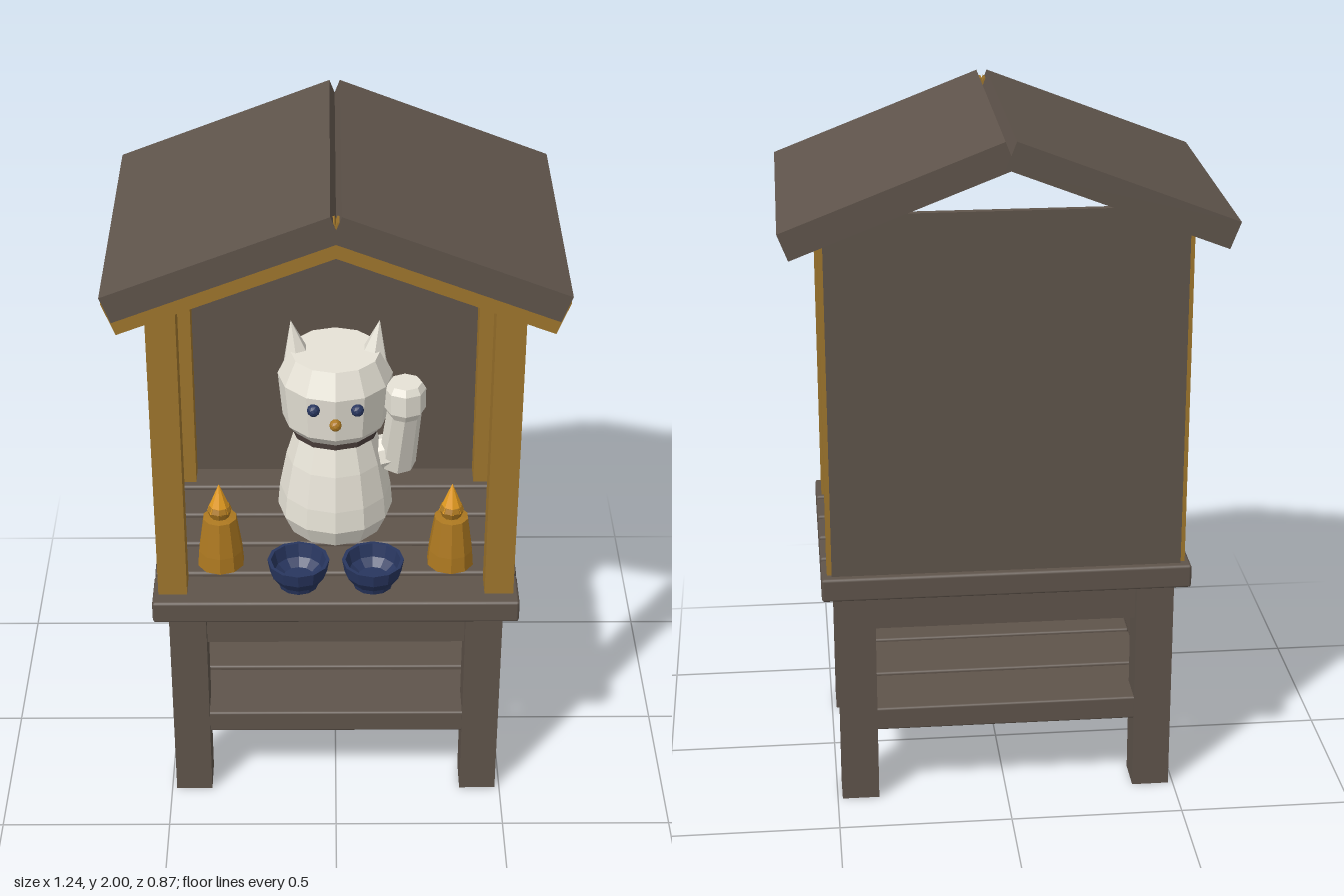
import * as THREE from 'three';
import { RoundedBoxGeometry } from 'three/addons/geometries/RoundedBoxGeometry.js';

const mat = (name, color) => {
  const m = new THREE.MeshStandardMaterial({ color });
  m.name = name;
  return m;
};

export function createModel() {
  const root = new THREE.Group();
  root.name = 'shrineStall';

  const wood = mat('greyBrownWood', 0x5f544b);
  const gold = mat('goldenWood', 0x9f762d);
  const cream = mat('cream', 0xe6e2d6);
  const navy = mat('navy', 0x28365f);
  const amber = mat('amber', 0xac7820);
  const flame = mat('flameOrange', 0xe59c20);
  const collarBrown = mat('collarBrown', 0x483c38);

  // Helpers
  const flat = (g) => {
    const f = g.index ? g.toNonIndexed() : g;
    f.computeVertexNormals();
    return f;
  };
  const add = (parent, name, geo, material, x = 0, y = 0, z = 0) => {
    const m = new THREE.Mesh(geo, material);
    m.name = name;
    m.position.set(x, y, z);
    parent.add(m);
    return m;
  };
  // Box given by its min and max corners
  const span = (parent, name, material, x0, x1, y0, y1, z0, z1, round = 0) => {
    const s = [x1 - x0, y1 - y0, z1 - z0];
    const g = round ? new RoundedBoxGeometry(...s, 1, round) : new THREE.BoxGeometry(...s);
    return add(parent, name, g, material, (x0 + x1) / 2, (y0 + y1) / 2, (z0 + z1) / 2);
  };
  // Faceted turned part from [radius, height] pairs
  const turned = (points, sides) =>
    flat(new THREE.LatheGeometry(points.map(([r, y]) => new THREE.Vector2(r, y)), sides));
  // Faceted limb between two points
  const limb = (parent, name, a, b, r0, r1, material) => {
    const p = new THREE.Vector3(...a);
    const d = new THREE.Vector3(...b).sub(p);
    const m = add(parent, name, flat(new THREE.CylinderGeometry(r1, r0, d.length(), 8)), material);
    m.position.copy(p).addScaledVector(d, 0.5);
    m.quaternion.setFromUnitVectors(new THREE.Vector3(0, 1, 0), d.normalize());
    return m;
  };

  // Table: legs, aprons, shelf and top planks
  const table = new THREE.Group();
  table.name = 'table';
  root.add(table);
  for (const sx of [-1, 1]) {
    for (const sz of [-1, 1]) {
      add(table, 'leg', new THREE.BoxGeometry(0.108, 0.66, 0.11), wood, sx * 0.432, 0.33, sz * 0.282);
    }
    add(table, 'sideApron', new THREE.BoxGeometry(0.05, 0.085, 0.46), wood, sx * 0.432, 0.62, 0);
  }
  for (const sz of [-1, 1]) {
    add(table, 'longApron', new THREE.BoxGeometry(0.77, 0.12, 0.05), wood, 0, 0.6, sz * 0.282);
  }
  for (let i = -1; i <= 1; i++) {
    add(table, 'shelfPlank', new RoundedBoxGeometry(0.86, 0.07, 0.212, 1, 0.006), wood, 0, 0.255, i * 0.224);
  }
  for (let i = -2; i <= 2; i++) {
    add(table, 'topPlank', new RoundedBoxGeometry(1.06, 0.07, 0.14, 1, 0.008), wood, 0, 0.695, i * 0.152);
  }

  // Posts and back panel
  for (const sx of [-1, 1]) {
    add(root, 'frontPost', new THREE.BoxGeometry(0.083, 1.0, 0.083), gold, sx * 0.472, 1.23, 0.288);
    add(root, 'backPost', new THREE.BoxGeometry(0.083, 1.0, 0.083), gold, sx * 0.472, 1.23, -0.3);
  }
  span(root, 'backPanel', wood, -0.5, 0.5, 0.73, 1.79, -0.352, -0.332);

  // Roof slabs with front trim boards tucked under them
  const roof = new THREE.Group();
  roof.name = 'roof';
  root.add(roof);
  for (const s of [-1, 1]) {
    const side = new THREE.Group();
    side.name = 'roofSide';
    side.position.set(s * 0.015, 2.0, 0);
    side.rotation.z = -s * 0.37;
    roof.add(side);
    add(side, 'roofSlab', new THREE.BoxGeometry(0.65, 0.08, 0.866), wood, s * 0.325, -0.04, 0);
    add(side, 'roofTrim', new THREE.BoxGeometry(0.658, 0.1, 0.038), gold, s * 0.324, -0.068, 0.413);
  }

  // Cat figure
  const cat = new THREE.Group();
  cat.name = 'catFigure';
  cat.position.z = -0.06;
  root.add(cat);
  add(cat, 'body', turned([[0, 0.73], [0.145, 0.73], [0.172, 0.79], [0.166, 0.86],
    [0.145, 0.97], [0.115, 1.07], [0, 1.07]], 12), cream);
  add(cat, 'collar', flat(new THREE.CylinderGeometry(0.13, 0.13, 0.025, 12)), collarBrown, 0, 1.07, 0);
  add(cat, 'head', turned([[0, 1.08], [0.13, 1.08], [0.155, 1.11], [0.168, 1.25],
    [0.132, 1.325], [0, 1.325]], 12), cream, 0, 0, 0.008);
  for (const s of [-1, 1]) {
    const ear = add(cat, 'ear', flat(new THREE.ConeGeometry(0.063, 0.18, 6)), cream, s * 0.115, 1.328, -0.005);
    ear.rotation.z = -s * 0.15;
    add(cat, 'eye', flat(new THREE.IcosahedronGeometry(0.019, 1)), navy, s * 0.063, 1.215, 0.163);
  }
  add(cat, 'nose', flat(new THREE.IcosahedronGeometry(0.018, 1)), amber, 0, 1.175, 0.18);

  // Raised arm on the model's left
  limb(cat, 'upperArm', [0.1, 0.95, -0.01], [0.205, 0.99, 0.01], 0.055, 0.052, cream);
  limb(cat, 'forearm', [0.185, 0.94, 0.0], [0.205, 1.19, 0.07], 0.056, 0.05, cream);
  add(cat, 'paw', turned([[0, 1.14], [0.045, 1.145], [0.06, 1.17], [0.06, 1.235],
    [0.048, 1.255], [0, 1.255]], 8), cream, 0.203, 0, 0.073);

  // Offering bowls
  const bowl = turned([[0, 0], [0.058, 0], [0.062, 0.015], [0.083, 0.045], [0.09, 0.085],
    [0.08, 0.085], [0.07, 0.045], [0.045, 0.025], [0, 0.025]], 12);
  for (const s of [-1, 1]) add(root, 'bowl', bowl, navy, s * 0.108, 0.73, 0.275);

  // Lamps with pointed flames
  const lampBody = turned([[0, 0], [0.07, 0], [0.066, 0.05], [0.05, 0.16], [0.028, 0.163],
    [0.036, 0.185], [0.03, 0.2], [0, 0.2]], 10);
  for (const s of [-1, 1]) {
    const lamp = new THREE.Group();
    lamp.name = 'lamp';
    lamp.position.set(s * 0.338, 0.73, 0.163);
    root.add(lamp);
    add(lamp, 'lampBody', lampBody, amber);
    add(lamp, 'lampFlame', flat(new THREE.ConeGeometry(0.036, 0.09, 8)), flame, 0, 0.228, 0);
  }

  return root;
}
